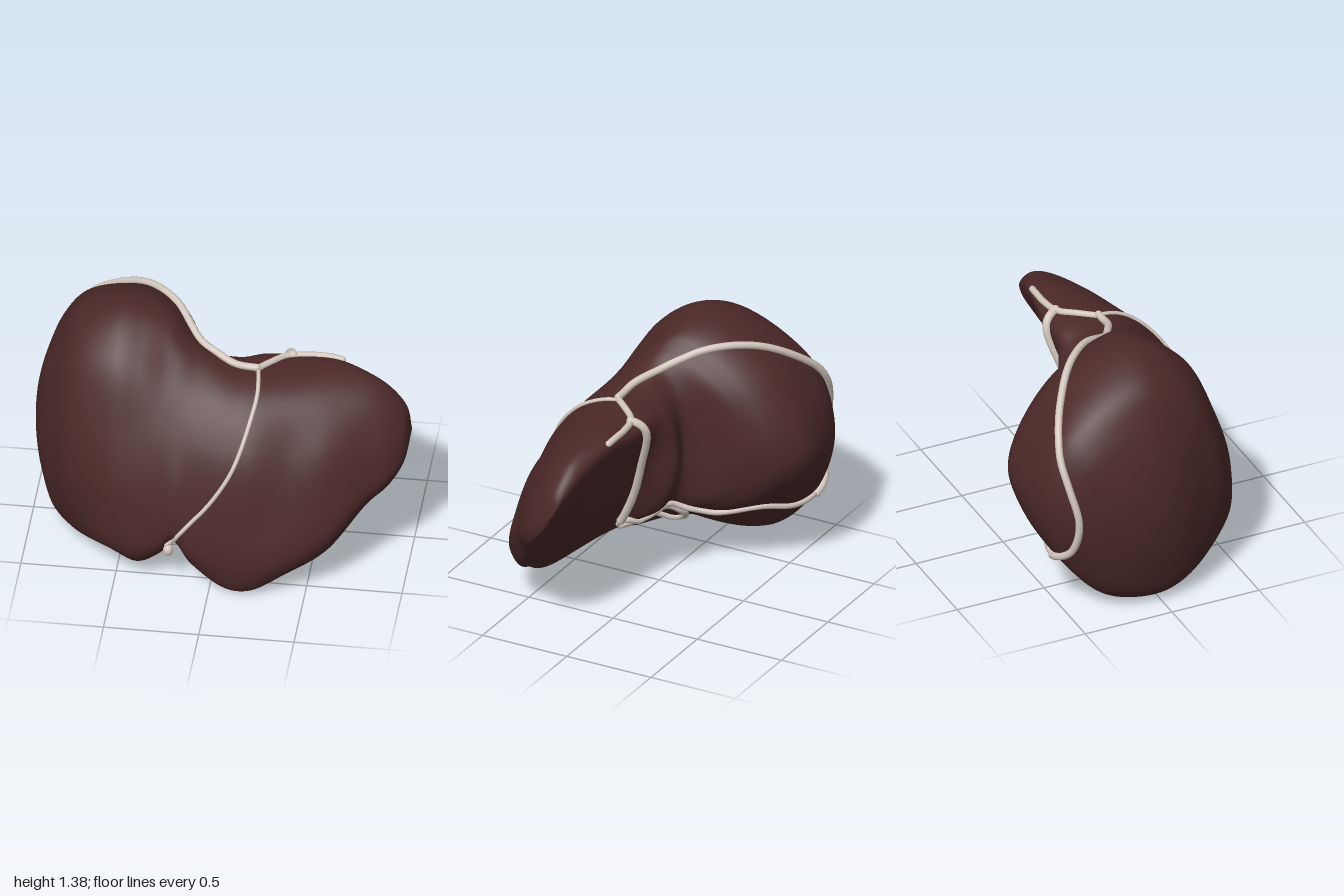
import * as THREE from 'three';
import { mergeVertices } from 'three/addons/utils/BufferGeometryUtils.js';

// Cross-sections [x, z,y pairs...] running top, front, bottom, back
const rightSections = [
  [-0.88, -.08, 1.09, .10, 1.0, .22, .75, .24, .45, .16, .15, 0, .06, -.25, .13, -.43, .36, -.52, .65, -.42, .96],
  [-0.77, -.05, 1.27, .20, 1.16, .36, .85, .41, .45, .27, .10, .03, .00, -.28, .06, -.52, .33, -.62, .69, -.49, 1.05],
  [-0.55, 0, 1.37, .28, 1.21, .45, .87, .55, .50, .52, .17, .30, .10, -.14, .17, -.53, .35, -.67, .70, -.46, 1.14],
  [-0.40, 0, 1.36, .28, 1.19, .46, .87, .58, .50, .58, .16, .41, .04, .10, .23, -.46, .39, -.66, .70, -.44, 1.14],
  [-0.27, .03, 1.31, .27, 1.15, .47, .86, .59, .50, .60, .23, .46, .13, .06, .24, -.40, .43, -.57, .70, -.38, 1.10],
  [-0.19, .08, 1.24, .28, 1.12, .47, .86, .60, .54, .61, .32, .50, .23, .11, .29, -.26, .45, -.41, .72, -.28, 1.06],
];
const leftSections = [
  [-0.10, .10, 1.18, .29, 1.09, .49, .84, .60, .52, .63, .22, .53, .12, .15, .32, -.04, .45, -.09, .73, -.05, 1.03],
  [0.08, .12, 1.11, .32, 1.05, .52, .81, .62, .50, .66, .16, .60, .02, .22, .31, -.04, .45, -.15, .72, -.08, 1.0],
  [0.21, .12, 1.10, .32, 1.04, .52, .81, .62, .50, .67, .14, .61, .02, .37, .18, .14, .42, -.03, .75, -.08, 1.04],
  [0.40, .07, 1.10, .28, 1.04, .47, .80, .59, .50, .64, .22, .57, .12, .40, .22, .16, .48, .0, .80, -.08, 1.05],
  [0.60, .04, 1.10, .22, 1.04, .41, .83, .52, .55, .56, .32, .49, .23, .34, .34, .17, .56, .04, .82, -.05, 1.06],
  [0.80, .06, 1.05, .18, 1.0, .30, .85, .38, .67, .40, .52, .34, .45, .23, .53, .12, .70, .03, .87, 0, 1.0],
];

const toPoints = ([x, ...p]) =>
  Array.from({ length: p.length / 2 }, (_, i) => new THREE.Vector3(x, p[2 * i + 1], p[2 * i]));

// Rounded end: copies of a section shrunk towards a pole
const shrink = (section, steps, y, z) => steps.map(([x, s]) =>
  section.map((p) => new THREE.Vector3(x, y + (p.y - y) * s, z + (p.z - z) * s)));

// Smooth skin through all sections
function loft(sections, around, along) {
  const rings = sections.map((s) => new THREE.CatmullRomCurve3(s, true));
  const position = [];
  const index = [];
  for (let j = 0; j < around; j++) {
    const rail = new THREE.CatmullRomCurve3(rings.map((r) => r.getPoint(j / around)));
    for (let i = 0; i <= along; i++) position.push(...rail.getPoint(i / along).toArray());
  }
  const id = (i, j) => (j % around) * (along + 1) + i;
  for (let j = 0; j < around; j++) {
    for (let i = 0; i < along; i++) {
      const a = id(i, j), b = id(i, j + 1), c = id(i + 1, j), d = id(i + 1, j + 1);
      index.push(a, b, c, b, d, c);
    }
  }
  let geometry = new THREE.BufferGeometry();
  geometry.setAttribute('position', new THREE.Float32BufferAttribute(position, 3));
  geometry.setIndex(index);
  geometry = mergeVertices(geometry, 1e-5);
  geometry.computeVertexNormals();
  return geometry;
}

// Drop a point onto the skin's nearest tangent plane, lifted along the normal
function snap(geometry, point, lift) {
  const { position, normal } = geometry.attributes;
  const v = new THREE.Vector3();
  let best = 0, bestDistance = Infinity;
  for (let i = 0; i < position.count; i++) {
    const d = v.fromBufferAttribute(position, i).distanceToSquared(point);
    if (d < bestDistance) { bestDistance = d; best = i; }
  }
  const n = new THREE.Vector3().fromBufferAttribute(normal, best);
  const height = v.fromBufferAttribute(position, best).sub(point).dot(n);
  return point.clone().addScaledVector(n, height + lift);
}

export function createModel() {
  const group = new THREE.Group();
  const tissue = new THREE.MeshStandardMaterial({ color: 0x4b2928 });
  tissue.name = 'dark red tissue';
  const cream = new THREE.MeshStandardMaterial({ color: 0xd3c8be });
  cream.name = 'cream ligament';

  const add = (name, geometry, material) => {
    const mesh = new THREE.Mesh(geometry, material);
    mesh.name = name;
    group.add(mesh);
    return mesh;
  };

  // Main organ: right lobe, middle lobes and tapering left lobe
  const right = rightSections.map(toPoints);
  const left = leftSections.map(toPoints);
  const skin = loft([
    ...shrink(right[0], [[-1, 0], [-0.985, .33], [-0.95, .64]], .58, -.1),
    ...right,
    ...left,
    ...shrink(left[5], [[.9, .75], [.97, .44], [1, 0]], .77, .1),
  ], 120, 170);
  add('lobes', skin, tissue);

  // Ligaments: cords laid over the skin
  const cord = (name, points, radius, lift = 0.004, closed = false) => {
    const guide = new THREE.CatmullRomCurve3(points.map((p) => new THREE.Vector3(...p)), closed);
    const count = points.length * 3;
    const laid = [];
    for (let i = 0; i < count + (closed ? 0 : 1); i++) {
      laid.push(snap(skin, guide.getPoint(i / count), lift));
    }
    const path = new THREE.CatmullRomCurve3(laid, closed);
    add(name, new THREE.TubeGeometry(path, 120, radius, 10, closed), cream);
    if (closed) return;
    for (const end of [laid[0], laid[count]]) {
      add(name + 'End', new THREE.SphereGeometry(radius, 12, 8).translate(end.x, end.y, end.z), cream);
    }
  };

  cord('frontLigament', [
    [.2, 1.11, .14], [.215, 1.07, .3], [.2, 1.0, .4], [.12, .75, .55], [0, .55, .61], [-.15, .36, .62], [-.21, .25, .61],
  ], 0.011);
  cord('upperRightLigament', [
    [.19, 1.11, .14], [.05, 1.13, .13], [-.1, 1.19, .03], [-.25, 1.27, -.15], [-.45, 1.25, -.35], [-.65, 1.14, -.5],
    [-.8, 1.0, -.57], [-.87, .82, -.53], [-.89, .62, -.48], [-.84, .44, -.49], [-.7, .34, -.53],
  ], 0.02, 0.014);
  cord('upperLeftLigament', [
    [.19, 1.11, .14], [.26, 1.1, .06], [.34, 1.1, -.02], [.45, 1.1, -.05], [.62, 1.09, -.05],
  ], 0.018, 0.004);
  cord('backFissureLigament', [
    [.36, 1.1, -.03], [.33, 1.05, -.09], [.29, .9, -.08], [.25, .7, -.03], [.2, .52, .07], [.16, .42, .15],
  ], 0.023, 0.008);
  cord('lowerRightLigament', [
    [.16, .42, .15], [.06, .42, .05], [-.06, .4, 0], [-.16, .34, -.1], [-.24, .33, -.2], [-.38, .37, -.38], [-.54, .35, -.47], [-.7, .34, -.53],
  ], 0.018, 0.006);
  cord('lowerFissureLigament', [
    [.16, .41, .15], [.11, .35, .23], [.03, .29, .33], [-.08, .26, .43], [-.17, .25, .52], [-.21, .25, .6],
  ], 0.016, 0);
  cord('undersideRing', [
    [.14, .38, .16], [0, .31, .18], [-.16, .26, .12], [-.27, .24, .04], [-.23, .32, -.03], [-.06, .38, .03],
  ], 0.018, 0.006, true);

  // Rounded knob where the front ligament ends at the lower notch
  const knob = add('notchKnob', new THREE.SphereGeometry(0.026, 20, 14), cream);
  knob.position.set(-.215, .23, .595);
  knob.scale.set(1, 1.3, 1);

  return group;
}
